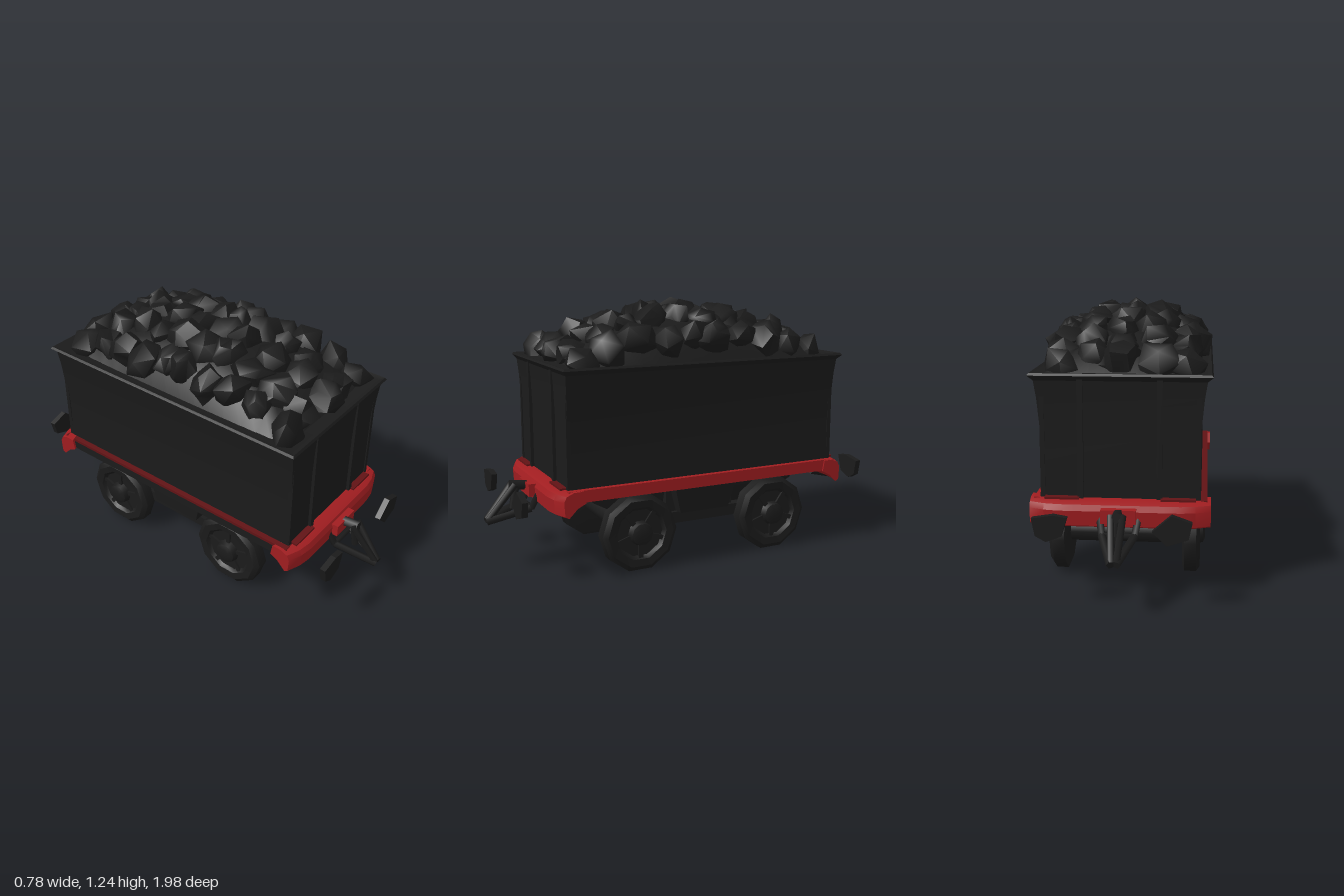
import * as THREE from 'three';
import { toCreasedNormals } from 'three/addons/utils/BufferGeometryUtils.js';

const mat = (name, color) => {
  const m = new THREE.MeshStandardMaterial({ color, side: THREE.DoubleSide });
  m.name = name;
  return m;
};

// Closed solid through rectangular rings, each [y, halfX, halfZ]
function loft(rings) {
  const p = [], idx = [], last = (rings.length - 1) * 4;
  for (const [y, x, z] of rings) p.push(-x, y, z, x, y, z, x, y, -z, -x, y, -z);
  for (let i = 0; i < last; i += 4) {
    for (let j = 0; j < 4; j++) {
      const a = i + j, b = i + (j + 1) % 4;
      idx.push(a, b, b + 4, a, b + 4, a + 4);
    }
  }
  idx.push(0, 2, 1, 0, 3, 2, last, last + 1, last + 2, last, last + 2, last + 3);
  const g = new THREE.BufferGeometry();
  g.setAttribute('position', new THREE.Float32BufferAttribute(p, 3));
  g.setIndex(idx);
  return toCreasedNormals(g, 0.3);
}

const outline = pts => new THREE.Shape(pts.map(([x, y]) => new THREE.Vector2(x, y)));

function seeded(seed) {
  return () => {
    seed = (seed * 16807) % 2147483647;
    return seed / 2147483647;
  };
}

export function createModel() {
  const model = new THREE.Group();
  const black = mat('coal black', 0x1b1b1b);
  const red = mat('frame red', 0xa01d20);
  const darkRed = mat('worn dark red', 0x611315);
  const rand = seeded(4217);

  const add = (name, geo, material, x = 0, y = 0, z = 0, parent = model) => {
    const m = new THREE.Mesh(geo, material);
    m.name = name;
    m.position.set(x, y, z);
    parent.add(m);
    return m;
  };
  const box = (name, w, h, d, material, x, y, z, parent) =>
    add(name, new THREE.BoxGeometry(w, h, d), material, x, y, z, parent);
  const bar = (name, a, b, r, parent) => {
    const va = new THREE.Vector3(...a), vb = new THREE.Vector3(...b);
    const dir = vb.clone().sub(va);
    const m = add(name, new THREE.CylinderGeometry(r, r, dir.length(), 5), black, 0, 0, 0, parent);
    m.position.copy(va).add(vb).multiplyScalar(0.5);
    m.quaternion.setFromUnitVectors(new THREE.Vector3(0, 1, 0), dir.normalize());
  };

  // Flared tub with a projecting rim
  add('tub', loft([
    [0.42, 0.348, 0.70], [0.6, 0.34, 0.70], [0.75, 0.345, 0.70], [0.88, 0.357, 0.705],
    [0.95, 0.368, 0.71], [0.972, 0.392, 0.727], [0.982, 0.385, 0.72], [0.975, 0.36, 0.70],
  ]), black);

  // Mound under the coal lumps, its border tucked below the rim
  const heapY = (x, z) => {
    const fx = Math.min(1, Math.abs(x) / 0.38), fz = Math.min(1, Math.abs(z) / 0.7);
    return 0.97 + 0.205 * (1 - fx ** 3.2) * (1 - fz ** 2.2);
  };
  const mound = new THREE.PlaneGeometry(0.7, 1.34, 10, 16).rotateX(-Math.PI / 2);
  const mp = mound.attributes.position;
  for (let i = 0; i < mp.count; i++) {
    const x = mp.getX(i), z = mp.getZ(i);
    mp.setY(i, Math.abs(x) > 0.34 || Math.abs(z) > 0.66 ? 0.96 : heapY(x, z));
  }
  mound.computeVertexNormals();
  add('coalMound', mound, black);

  // Irregular lumps: vertices of a low ball pushed in and out
  const shapes = [];
  for (let s = 0; s < 6; s++) {
    const g = s % 2 ? new THREE.DodecahedronGeometry(1) : new THREE.IcosahedronGeometry(1);
    const p = g.attributes.position, pushed = new Map();
    for (let i = 0; i < p.count; i++) {
      const key = [p.getX(i), p.getY(i), p.getZ(i)].map(v => Math.round(v * 100)).join();
      if (!pushed.has(key)) pushed.set(key, 0.8 + rand() * 0.35);
      const k = pushed.get(key);
      p.setXYZ(i, p.getX(i) * k, p.getY(i) * k, p.getZ(i) * k);
    }
    g.deleteAttribute('uv');
    g.deleteAttribute('normal');
    shapes.push(toCreasedNormals(g, 1.15));
  }
  const coal = new THREE.Group();
  coal.name = 'coalLumps';
  model.add(coal);
  for (let r = 0; r < 10; r++) {
    for (let c = 0; c < 5; c++) {
      const x = (c - 2) * 0.138 + (rand() - 0.5) * 0.045;
      const z = (r - 4.5) * 0.13 + (rand() - 0.5) * 0.06;
      const size = 0.08 + rand() * 0.025;
      const lump = add('coalLump', shapes[Math.floor(rand() * 6)], black, x, heapY(x, z) - 0.015, z, coal);
      lump.scale.set(size, size * 0.85, size * 1.1);
      lump.rotation.set(rand() * 6, rand() * 6, rand() * 6);
    }
  }

  // Side rails: red on one side, black with a thin worn red edge on the other
  box('sideRail', 0.05, 0.055, 1.42, red, 0.35, 0.413, 0);
  box('sideRail', 0.05, 0.042, 1.42, black, -0.35, 0.405, 0);
  box('railEdge', 0.05, 0.014, 1.42, darkRed, -0.35, 0.433, 0);
  box('floor', 0.66, 0.04, 1.38, black, 0, 0.40, 0);

  // Underframe between the wheels
  add('underframe', loft([[0.24, 0.2, 0.38], [0.33, 0.23, 0.54], [0.39, 0.24, 0.57]]), black);
  for (const s of [-1, 1]) {
    box('sideFrame', 0.05, 0.055, 0.44, black, s * 0.25, 0.22, 0);
    box('framePlate', 0.04, 0.16, 0.36, black, s * 0.235, 0.31, 0);
    add('toolBox', loft([[0.25, 0.04, 0.13], [0.37, 0.05, 0.16]]), black, s * 0.27, 0, 0);
  }

  // Wheels with raised tyres and hubs, on thick axles
  const profile = [
    [0.001, -0.04], [0.16, -0.04], [0.188, -0.03], [0.188, 0.025], [0.165, 0.042],
    [0.13, 0.038], [0.115, 0.022], [0.06, 0.022], [0.052, 0.055], [0.03, 0.065], [0.001, 0.065],
  ].map(([r, h]) => new THREE.Vector2(r, h));
  const wheelGeo = toCreasedNormals(new THREE.LatheGeometry(profile, 10), 0.7);
  const spokeGeo = new THREE.BoxGeometry(0.08, 0.022, 0.022);
  for (const z of [0.35, -0.37]) {
    const axle = add('axle', new THREE.CylinderGeometry(0.056, 0.056, 0.54, 10), black, 0, 0.187, z);
    axle.rotation.z = Math.PI / 2;
    for (const s of [-1, 1]) {
      const wheel = new THREE.Group();
      wheel.name = 'wheel';
      wheel.position.set(s * 0.303, 0.19, z);
      wheel.rotation.z = -s * Math.PI / 2;
      model.add(wheel);
      add('wheelDisc', wheelGeo, black, 0, 0, 0, wheel);
      for (let i = 0; i < 5; i++) {
        const a = i * Math.PI * 0.4;
        const spoke = add('spoke', spokeGeo, black, Math.cos(a) * 0.09, 0.022, Math.sin(a) * 0.09, wheel);
        spoke.rotation.y = -a;
      }
    }
  }

  // End beam: slanted section drawn along x, set back towards its ends
  const beamSection = outline([
    [0.67, 0.385], [0.68, 0.44], [0.725, 0.44], [0.76, 0.425], [0.772, 0.40],
    [0.768, 0.335], [0.75, 0.325], [0.71, 0.365],
  ]);
  const beam = new THREE.ExtrudeGeometry(beamSection, { depth: 0.78, steps: 12, bevelEnabled: false });
  beam.translate(0, 0, -0.39).rotateY(-Math.PI / 2);
  const bp = beam.attributes.position;
  for (let i = 0; i < bp.count; i++) {
    const over = Math.max(0, Math.abs(bp.getX(i)) - 0.3) / 0.09;
    bp.setZ(i, bp.getZ(i) - over * 0.035);
  }
  const beamGeo = toCreasedNormals(beam, 0.5);

  // Bumper heads: two uneven plates, [x, y] corners
  const plates = [
    [[-0.35, 0.405], [-0.26, 0.42], [-0.2, 0.41], [-0.225, 0.33], [-0.29, 0.305], [-0.335, 0.33]],
    [[0.15, 0.36], [0.23, 0.43], [0.315, 0.40], [0.3, 0.33], [0.21, 0.30]],
  ].map(pts => new THREE.ExtrudeGeometry(outline(pts), { depth: 0.028, bevelEnabled: false }));

  // Matching ends: beam, ribs, bumpers and coupling
  for (const e of [1, -1]) {
    const end = new THREE.Group();
    end.name = e > 0 ? 'frontEnd' : 'backEnd';
    end.rotation.y = e > 0 ? 0 : Math.PI;
    model.add(end);
    add('endBeam', beamGeo, red, 0, 0, 0, end);
    box('drawPlate', 0.15, 0.06, 0.05, red, 0, 0.385, 0.775, end);
    for (const plate of plates) add('bumperHead', plate, black, 0, 0, 0.875, end);
    for (const s of [-1, 1]) {
      box('wornPatch', 0.15, 0.009, 0.035, darkRed, s * 0.25, 0.443, 0.715, end);
      box('endRib', 0.025, 0.52, 0.02, black, s * 0.17, 0.70, 0.705, end);
      box('cornerPost', 0.02, 0.46, 0.02, black, s * 0.335, 0.67, 0.695, end);

      // Coupling arms meeting at the tip
      bar('couplingArm', [s * 0.085, 0.38, 0.75], [s * 0.07, 0.3, 0.79], 0.016, end);
      bar('couplingArm', [s * 0.07, 0.3, 0.79], [s * 0.012, 0.245, 0.985], 0.018, end);
      bar('couplingArm', [s * 0.025, 0.41, 0.85], [s * 0.01, 0.25, 0.98], 0.016, end);
    }
    bar('couplingHook', [0, 0.39, 0.74], [0, 0.405, 0.87], 0.024, end);
    bar('couplingLink', [0, 0.40, 0.84], [0, 0.29, 0.86], 0.018, end);
    bar('couplingBase', [-0.07, 0.3, 0.79], [0.07, 0.3, 0.79], 0.014, end);
  }
  return model;
}
